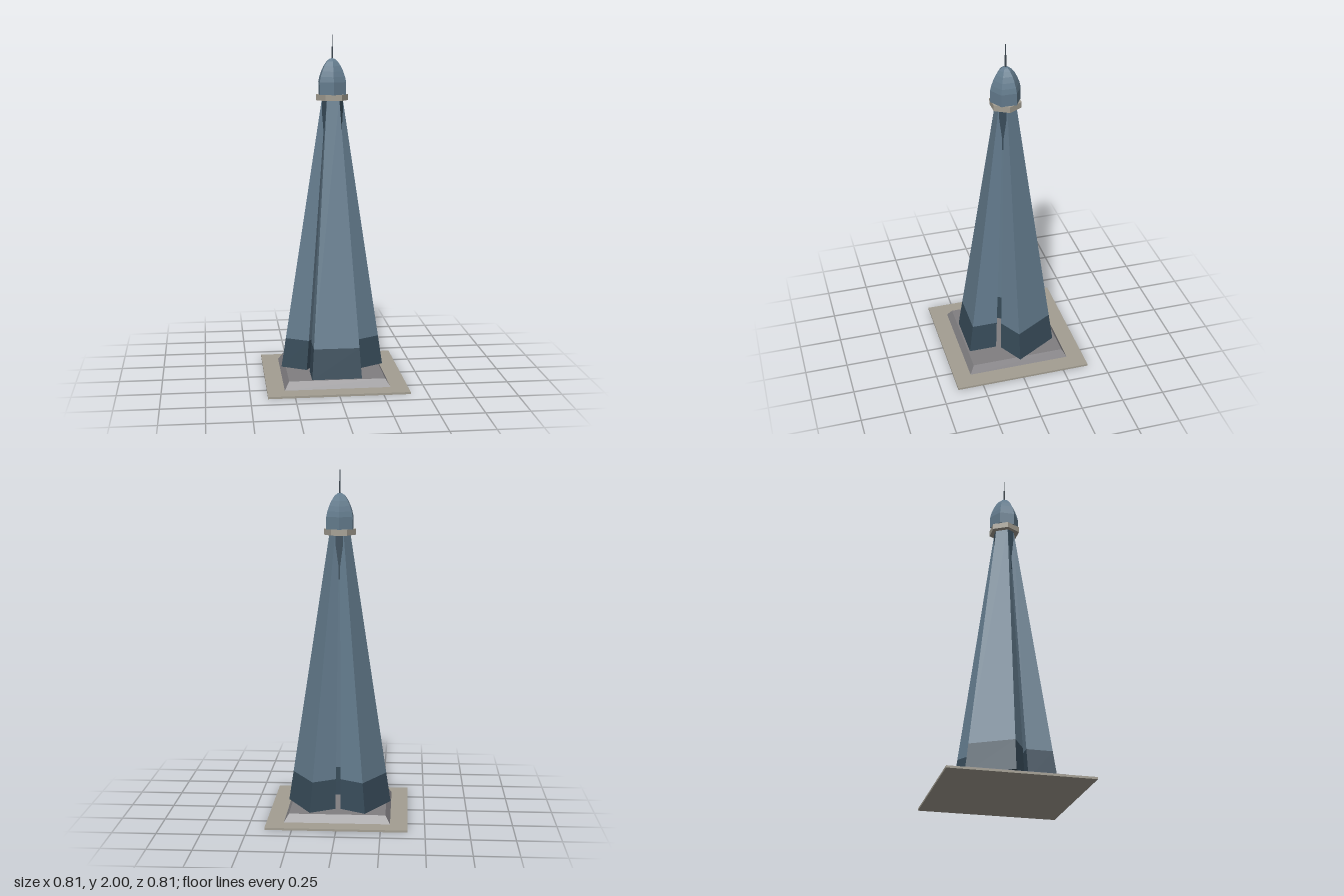
import * as THREE from 'three';

const mat = (name, color) => {
  const m = new THREE.MeshStandardMaterial({ color });
  m.name = name;
  return m;
};

export function createModel() {
  const model = new THREE.Group();
  model.name = 'tower';

  const blueGlass = mat('blue glass', 0x647c8e);
  const darkGlass = mat('dark glass', 0x384c5a);
  const paleStone = mat('pale stone', 0xa39e92);
  const greyStone = mat('grey stone', 0x807e81);
  const steel = mat('dark steel', 0x3c4650);

  // Flat-faceted mesh
  const add = (parent, name, geometry, material) => {
    const flat = geometry.index ? geometry.toNonIndexed() : geometry;
    flat.computeVertexNormals();
    const mesh = new THREE.Mesh(flat, material);
    mesh.name = name;
    parent.add(mesh);
    return mesh;
  };

  // Box whose cross-section at each height is given by section(y) = [halfWidth, zInner, zOuter]
  const taperedBlock = (y0, y1, section) => {
    const g = new THREE.BoxGeometry(2, 1, 1);
    const p = g.attributes.position;
    for (let i = 0; i < p.count; i++) {
      const y = p.getY(i) > 0 ? y1 : y0;
      const [half, inner, outer] = section(y);
      p.setXYZ(i, p.getX(i) * half, y, p.getZ(i) > 0 ? outer : inner);
    }
    return g;
  };

  // Ground plate and sloped podium
  add(model, 'groundPlate', taperedBlock(0, 0.012, () => [0.403, -0.403, 0.403]), paleStone);
  add(model, 'podium', taperedBlock(0.012, 0.056, (y) => {
    const h = y > 0.03 ? 0.276 : 0.303;
    return [h, -h, h];
  }), greyStone);

  // Three leaning legs with dark bases, and dark panels in the gaps near the top
  const lerp = THREE.MathUtils.lerp;
  const legSection = (y) => {
    const t = (y - 0.056) / 1.574;
    return [lerp(0.143, 0.036, t), lerp(0.1, 0.024, t), lerp(0.265, 0.05, t)];
  };
  for (let i = 0; i < 3; i++) {
    const leg = new THREE.Group();
    leg.name = 'leg' + (i + 1);
    leg.rotation.y = (i * Math.PI * 2) / 3;
    add(leg, 'legBase', taperedBlock(0.056, 0.23, legSection), darkGlass);
    add(leg, 'legShaft', taperedBlock(0.23, 1.635, legSection), blueGlass);
    model.add(leg);

    const panel = add(model, 'gapPanel', taperedBlock(1.38, 1.635, () => [0.021, 0, 0.058]), darkGlass);
    panel.rotation.y = leg.rotation.y + Math.PI / 3;
  }

  // Hexagonal collar
  const collar = add(model, 'collar', new THREE.CylinderGeometry(0.092, 0.092, 0.034, 6), paleStone);
  collar.rotation.y = Math.PI / 6;
  collar.position.y = 1.648;

  // Six-sided dome
  const profile = [
    [0, 1.664], [0.087, 1.664], [0.087, 1.735], [0.08, 1.765], [0.069, 1.795],
    [0.054, 1.825], [0.036, 1.85], [0.018, 1.864], [0, 1.87],
  ].map(([r, y]) => new THREE.Vector2(r, y));
  add(model, 'dome', new THREE.LatheGeometry(profile, 6), blueGlass);

  // Two-step spire
  [[0.005, 1.86, 1.935], [0.0025, 1.935, 2]].forEach(([r, y0, y1], i) => {
    const rod = add(model, i ? 'spireTip' : 'spireBase', new THREE.CylinderGeometry(r, r, y1 - y0, 6), steel);
    rod.position.y = (y0 + y1) / 2;
  });

  return model;
}
